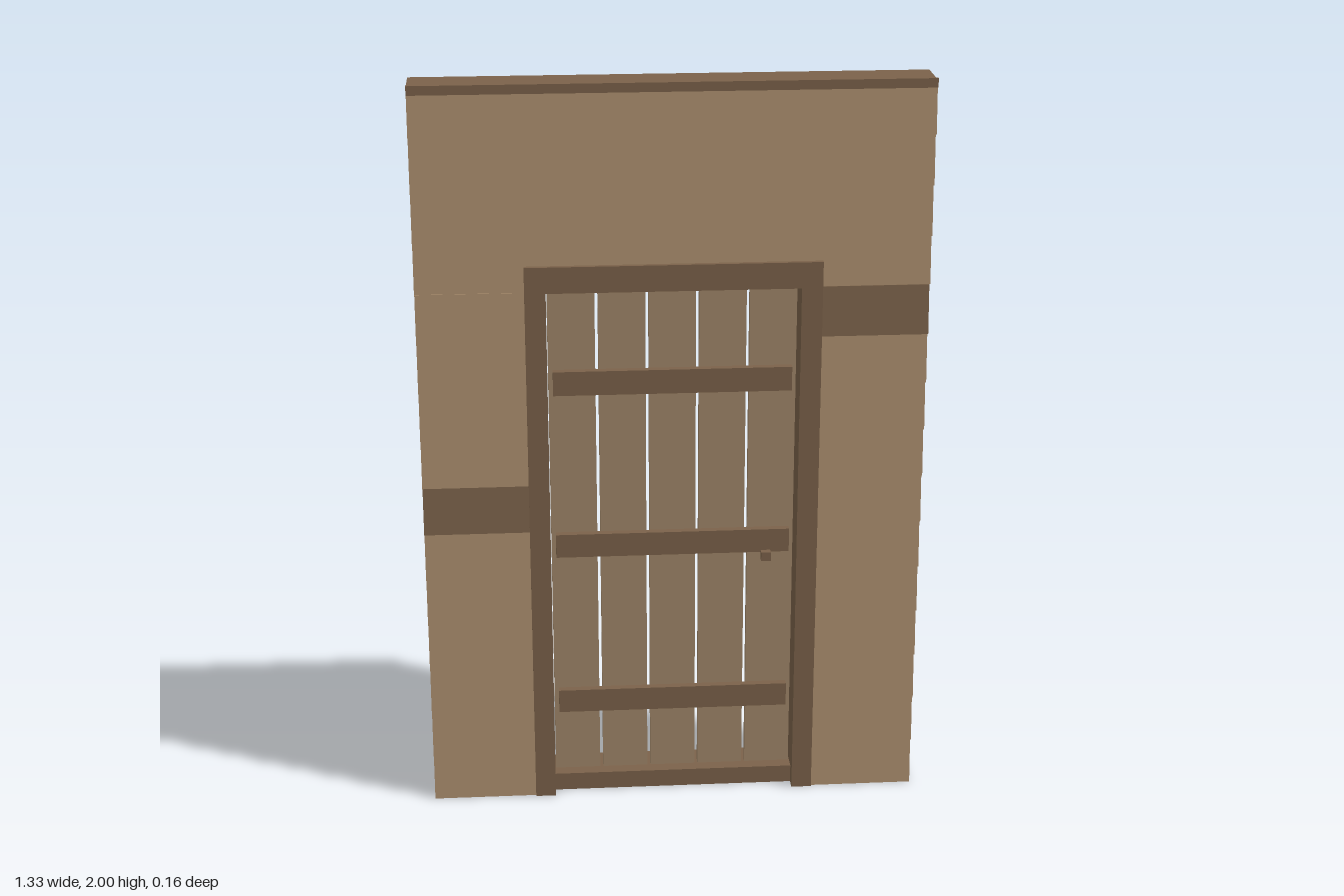
import * as THREE from 'three';

const siding = new THREE.MeshStandardMaterial({ name: 'siding wood', color: 0xa88c6c });
const plank = new THREE.MeshStandardMaterial({ name: 'plank wood', color: 0xa1876a });
const dark = new THREE.MeshStandardMaterial({ name: 'dark timber', color: 0x7b624a });

// Box given by its min and max on each axis
function slab(parent, name, mat, [x0, x1], [y0, y1], [z0, z1]) {
  const mesh = new THREE.Mesh(new THREE.BoxGeometry(x1 - x0, y1 - y0, z1 - z0), mat);
  mesh.position.set((x0 + x1) / 2, (y0 + y1) / 2, (z0 + z1) / 2);
  mesh.name = name;
  parent.add(mesh);
  return mesh;
}

// Leaning clapboard: bottom edge stands out, top edge tucks in
function clapboard(parent, mat, x0, x1, y0, y1) {
  const s = new THREE.Shape([[0.059, y0], [0.071, y0], [0.058, y1], [0.046, y1]]
    .map(([z, y]) => new THREE.Vector2(-z, y)));
  const geo = new THREE.ExtrudeGeometry(s, { depth: x1 - x0, bevelEnabled: false });
  geo.rotateY(Math.PI / 2);
  const mesh = new THREE.Mesh(geo, mat);
  mesh.position.x = x0;
  mesh.name = 'clapboard';
  parent.add(mesh);
}

export function createModel() {
  const model = new THREE.Group();
  model.name = 'wallWithDoor';
  const W = 0.665, open = 0.33, frame = 0.385;

  // Timber core around the doorway, with top and bottom plates
  const core = new THREE.Group();
  core.name = 'wallCore';
  model.add(core);
  slab(core, 'coreLeft', dark, [0.36, W], [0.05, 1.95], [-0.046, 0.045]);
  slab(core, 'coreRight', dark, [-W, -0.36], [0.05, 1.95], [-0.046, 0.045]);
  slab(core, 'coreAbove', dark, [-0.36, 0.36], [1.5, 1.95], [-0.046, 0.045]);
  slab(core, 'topPlate', dark, [-W, W], [1.95, 1.994], [-0.067, 0.045]);
  slab(core, 'bottomPlate', dark, [-W, W], [0, 0.05], [-0.067, 0.045]);
  slab(core, 'topTrim', dark, [-W, W], [1.976, 2], [0.058, 0.068]);

  // Horizontal siding on the front
  const front = new THREE.Group();
  front.name = 'frontSiding';
  model.add(front);
  const rows = 15, rowH = 1.99 / rows;
  for (let i = 0; i < rows; i++) {
    const y0 = i * rowH, y1 = y0 + rowH - 0.001;
    if (i < 11) {
      clapboard(front, i === 6 ? dark : siding, -W, -0.375, y0, y1);
      clapboard(front, i === 10 ? dark : siding, 0.375, W, y0, y1);
    } else {
      clapboard(front, siding, -W, W, Math.max(y0, 1.463), y1);
    }
  }

  // Vertical planks on the back
  const back = new THREE.Group();
  back.name = 'backPlanks';
  model.add(back);
  const pw = (2 * W) / 8;
  for (let i = 0; i < 8; i++) {
    const x0 = -W + i * pw;
    const overDoor = i > 1 && i < 6;
    slab(back, 'backPlank', plank, [x0 + 0.0015, x0 + pw - 0.0015],
      [overDoor ? 1.49 : 0.05, 1.95], [-0.06, -0.046]);
  }

  // Door frame
  const casing = new THREE.Group();
  casing.name = 'doorFrame';
  model.add(casing);
  slab(casing, 'jambLeft', dark, [open, frame], [0, 1.46], [-0.08, 0.077]);
  slab(casing, 'jambRight', dark, [-frame, -open], [0, 1.46], [-0.08, 0.077]);
  slab(casing, 'frameHead', dark, [-frame, frame], [1.46, 1.53], [-0.08, 0.077]);

  // Door of five spaced planks, three battens and a handle
  const door = new THREE.Group();
  door.name = 'door';
  model.add(door);
  for (let i = -2; i <= 2; i++) {
    const x = i * 0.1325;
    slab(door, 'doorPlank', plank, [x - 0.062, x + 0.062], [0.05, 1.458], [-0.012, 0.01]);
  }
  for (const y of [0.268, 0.735, 1.198]) {
    slab(door, 'batten', dark, [-0.315, 0.315], [y - 0.033, y + 0.033], [0.01, 0.03]);
  }
  slab(door, 'handleStem', dark, [0.243, 0.257], [0.693, 0.707], [0.01, 0.045]);
  slab(door, 'handleKnob', dark, [0.237, 0.263], [0.688, 0.713], [0.042, 0.06]);

  return model;
}
